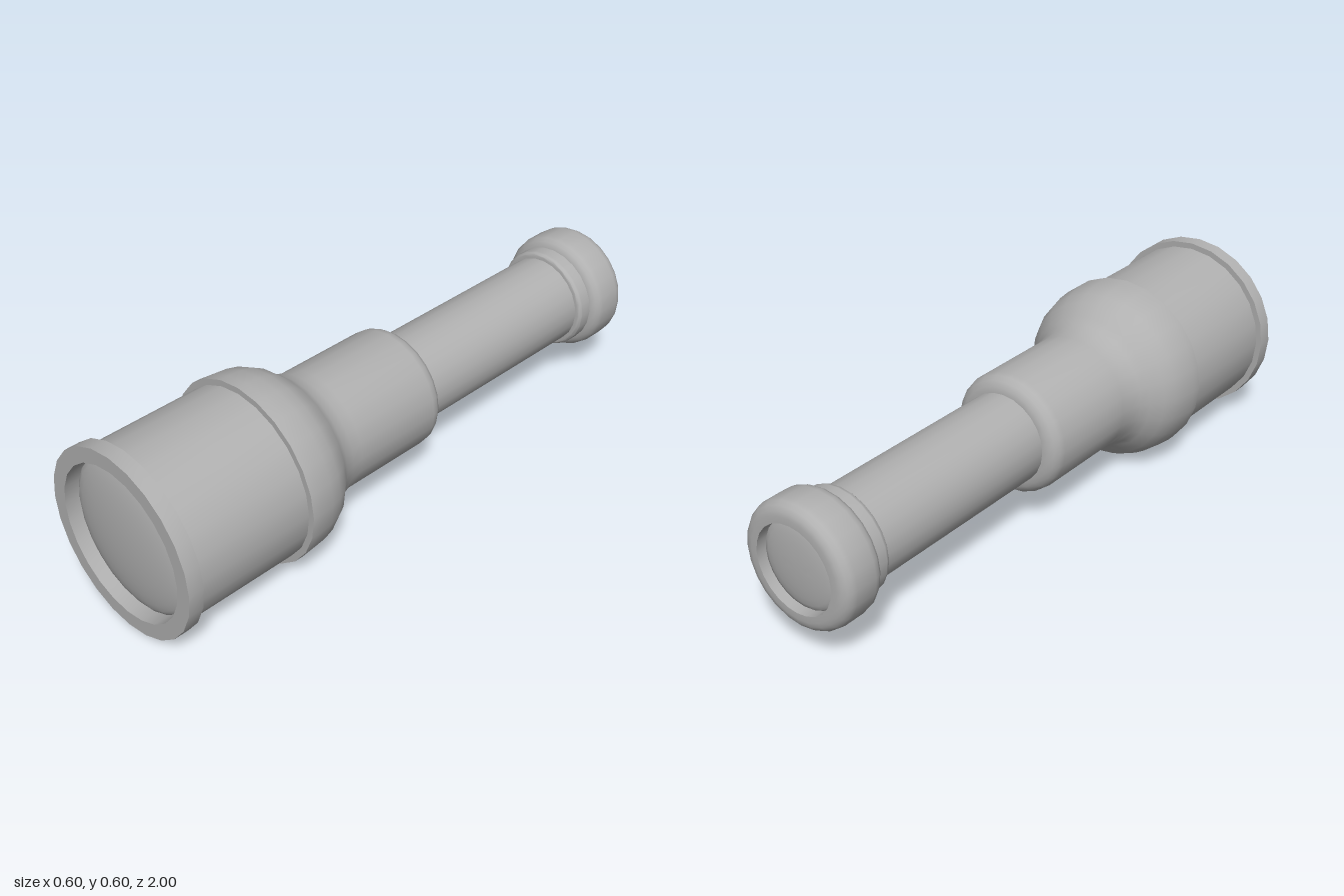
import * as THREE from 'three';
import { toCreasedNormals } from 'three/addons/utils/BufferGeometryUtils.js';

const SIDES = 24;

// Quarter-ellipse profile points [radius, z] between two angles in degrees
function arc(r, z, rx, rz, from, to, steps = 4) {
  return Array.from({ length: steps + 1 }, (_, i) => {
    const a = THREE.MathUtils.degToRad(from + ((to - from) * i) / steps);
    return [r + rx * Math.cos(a), z + rz * Math.sin(a)];
  });
}

export function createModel() {
  const model = new THREE.Group();
  model.name = 'spyglass';
  const metal = new THREE.MeshStandardMaterial({ color: 0xb0b0b0 });
  metal.name = 'grey';

  // Revolve a [radius, z] profile around the long axis; outer walls run towards +z
  function turned(name, profile) {
    const points = profile.map(([r, z]) => new THREE.Vector2(Math.max(r, 0), z));
    const lathe = new THREE.LatheGeometry(points, SIDES);
    lathe.rotateX(Math.PI / 2);
    const mesh = new THREE.Mesh(toCreasedNormals(lathe, THREE.MathUtils.degToRad(40)), metal);
    mesh.name = name;
    mesh.position.y = 0.3;
    model.add(mesh);
  }

  // Wide front barrel
  turned('frontBarrel', [[0.28, 0.54], [0.28, 0.96]]);

  // Front rim with its inner wall
  turned('frontRim', [[0.28, 0.95], [0.3, 0.95], [0.3, 1], [0.25, 1], [0.25, 0.94]]);

  // Domed front lens
  turned('frontLens', arc(0, 0.945, 0.25, 0.045, 0, 90, 8));

  // Middle sleeve flaring into the front barrel
  turned('flaredSleeve', [
    [0.14, -0.1],
    ...arc(0.15, -0.05, 0.05, 0.05, -90, 0),
    [0.2, 0.26], [0.205, 0.3], [0.216, 0.335], [0.235, 0.36],
    [0.267, 0.395], [0.285, 0.43], [0.295, 0.47], [0.3, 0.52],
    [0.3, 0.55], [0.27, 0.55],
  ]);

  // Narrow draw tube
  turned('drawTube', [[0.15, -0.82], [0.15, -0.09]]);

  // Collar in front of the eyepiece
  turned('eyepieceCollar', [
    [0.17, -0.87], [0.17, -0.82],
    ...arc(0.16, -0.815, 0.01, 0.015, 0, 90), [0.14, -0.8],
  ]);

  // Rounded eyepiece cap with a recess at the back
  turned('eyepieceCap', [
    [0.14, -0.96], [0.14, -1],
    ...arc(0.16, -0.96, 0.04, 0.04, -90, 0),
    ...arc(0.16, -0.89, 0.04, 0.04, 0, 90),
    [0.14, -0.85],
  ]);

  // Shallow domed rear lens
  turned('rearLens', arc(0, -0.965, 0.14, 0.02, -90, 0, 6));

  return model;
}
